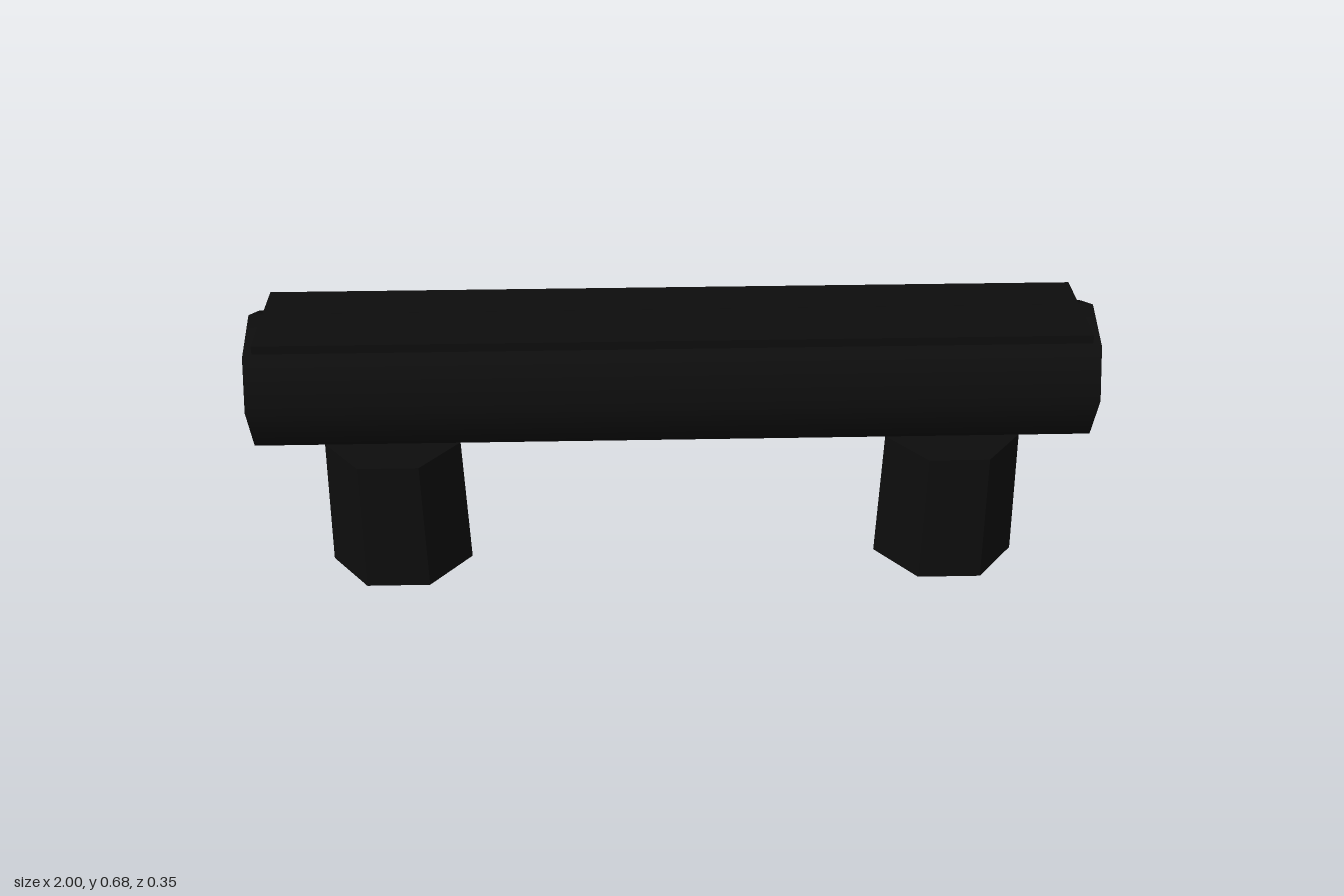
import * as THREE from 'three';

export function createModel() {
  const group = new THREE.Group();
  const charcoal = new THREE.MeshStandardMaterial({ color: 0x0d0d0d });
  charcoal.name = 'charcoal';
  const centreZ = 0.006;

  function add(name, geometry, x, y) {
    const mesh = new THREE.Mesh(geometry, charcoal);
    mesh.name = name;
    mesh.position.set(x, y, centreZ);
    group.add(mesh);
  }

  // Eight-sided log lying along x, with a corner line on top
  const log = new THREE.CylinderGeometry(0.1685, 0.1685, 2, 8);
  log.rotateZ(Math.PI / 2);
  add('log', log, 0, 0.5065);

  // Thin seat board through which the log's ridge shows
  add('seatBoard', new THREE.BoxGeometry(1.945, 0.021, 0.274), 0, 0.655);

  // Faceted, slightly tapered seven-sided stumps with a corner to the back
  for (const side of [-1, 1]) {
    const leg = new THREE.CylinderGeometry(0.169, 0.179, 0.338, 7).toNonIndexed();
    leg.rotateY(Math.PI);
    leg.computeVertexNormals();
    add(side > 0 ? 'leftLeg' : 'rightLeg', leg, side * 0.685, 0.169);
  }

  return group;
}
